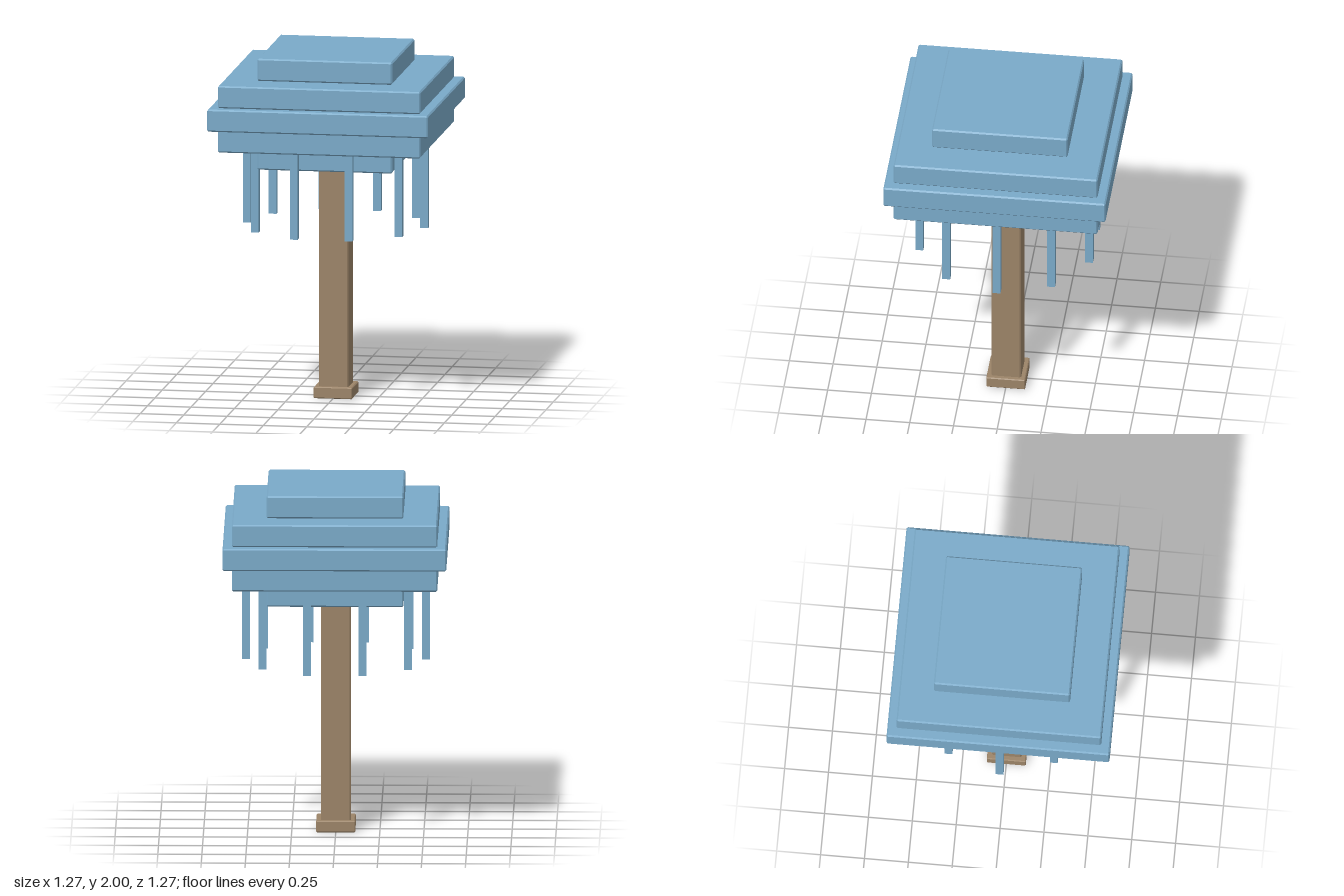
import * as THREE from 'three';
import { ConvexGeometry } from 'three/addons/geometries/ConvexGeometry.js';

// Square block with small flat chamfers on every edge, standing on y = 0
function chamferedBlock(half, height, c = 0.008) {
  const points = [];
  const h = height / 2;
  for (const sx of [-1, 1]) for (const sy of [-1, 1]) for (const sz of [-1, 1]) {
    points.push(
      new THREE.Vector3(sx * half, sy * (h - c) + h, sz * (half - c)),
      new THREE.Vector3(sx * (half - c), sy * h + h, sz * (half - c)),
      new THREE.Vector3(sx * (half - c), sy * (h - c) + h, sz * half)
    );
  }
  return new ConvexGeometry(points);
}

export function createModel() {
  const blue = new THREE.MeshStandardMaterial({ color: 0x7aaac9 });
  blue.name = 'canopyBlue';
  const brown = new THREE.MeshStandardMaterial({ color: 0x9c8468 });
  brown.name = 'trunkBrown';

  const model = new THREE.Group();
  model.name = 'blockTree';
  const add = (name, geometry, material, x, y, z, parent = model) => {
    const mesh = new THREE.Mesh(geometry, material);
    mesh.name = name;
    mesh.position.set(x, y, z);
    parent.add(mesh);
  };

  // Foot and trunk
  add('foot', chamferedBlock(0.111, 0.066, 0.005), brown, 0, 0, 0);
  add('trunk', chamferedBlock(0.085, 1.32), brown, 0, 0.05, 0);

  // Stacked canopy layers, bottom to top
  const canopy = new THREE.Group();
  canopy.name = 'canopy';
  model.add(canopy);
  const layer = 0.128, base = 1.36;
  [0.388, 0.583, 0.635, 0.583, 0.388].forEach((half, i) =>
    add(`canopyLayer${i + 1}`, chamferedBlock(half, layer), blue, 0, base + i * layer, 0, canopy));

  // Ring of ten hanging strands under the canopy
  const strands = new THREE.Group();
  strands.name = 'hangingStrands';
  model.add(strands);
  const strand = new THREE.BoxGeometry(0.045, 0.51, 0.045);
  for (let i = 0; i < 10; i++) {
    const a = (i / 10) * Math.PI * 2;
    add(`strand${i + 1}`, strand, blue, Math.cos(a) * 0.51, 1.24, Math.sin(a) * 0.51, strands);
  }

  return model;
}
